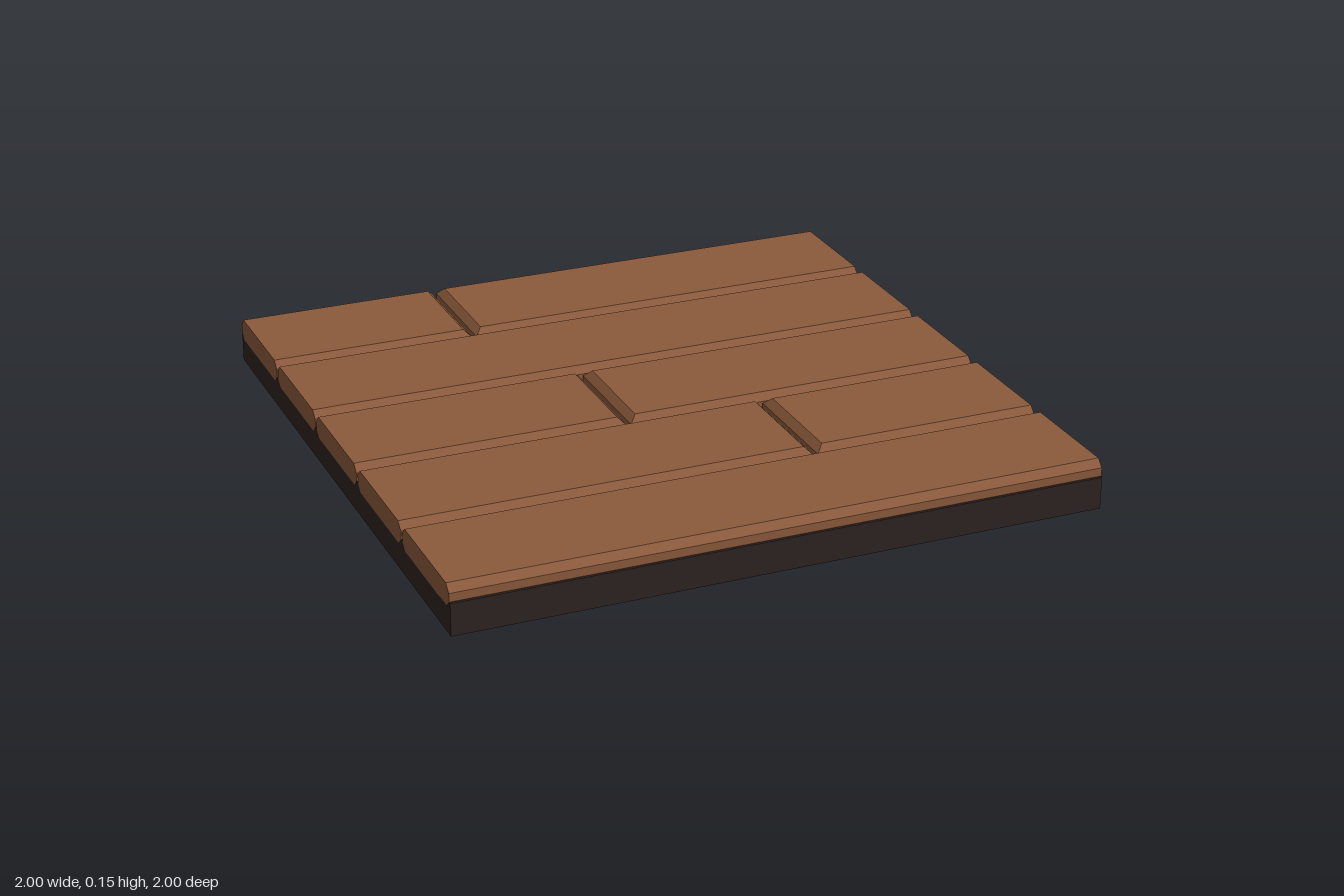
import * as THREE from 'three';
import { ConvexGeometry } from 'three/addons/geometries/ConvexGeometry.js';

const BOTTOM = 0.08, TOP = 0.15, BEVEL = 0.022, HALF_WIDTH = 0.194, GAP = 0.007;

// Bevelled plank; ends that lie at a joint are bevelled too, outer ends are sawn flat.
function plankGeometry(x0, x1) {
  const points = [];
  for (const [x, inward] of [[x0, 1], [x1, -1]]) {
    const cut = Math.abs(x) < 0.99 ? BEVEL * inward : 0;
    for (const side of [-1, 1]) {
      const wide = side * HALF_WIDTH, narrow = side * (HALF_WIDTH - BEVEL);
      points.push(
        new THREE.Vector3(x + cut, TOP, narrow),
        new THREE.Vector3(x, TOP - BEVEL, wide),
        new THREE.Vector3(x, BOTTOM + BEVEL, wide),
        new THREE.Vector3(x + cut, BOTTOM, narrow)
      );
    }
  }
  return new ConvexGeometry(points);
}

export function createModel() {
  const wood = new THREE.MeshStandardMaterial({ color: 0x8b5a3c });
  wood.name = 'brown wood';
  const dark = new THREE.MeshStandardMaterial({ color: 0x2d2321 });
  dark.name = 'dark base';

  const floor = new THREE.Group();
  floor.name = 'plankFloor';

  // Slab under the planks, a hair inside their sawn ends
  const base = new THREE.Mesh(new THREE.BoxGeometry(1.998, 0.1, 2), dark);
  base.name = 'base';
  base.position.y = 0.05;
  floor.add(base);

  // Five rows from back to front, three of them split by a joint
  const joints = [-0.35, null, -0.15, 0.275, null];
  joints.forEach((joint, row) => {
    const spans = joint === null ? [[-1, 1]] : [[-1, joint - GAP], [joint + GAP, 1]];
    spans.forEach(([x0, x1], i) => {
      const plank = new THREE.Mesh(plankGeometry(x0, x1), wood);
      plank.name = `plankRow${row + 1}Piece${i + 1}`;
      plank.position.z = -0.8 + row * 0.4;
      floor.add(plank);
    });
  });
  return floor;
}
